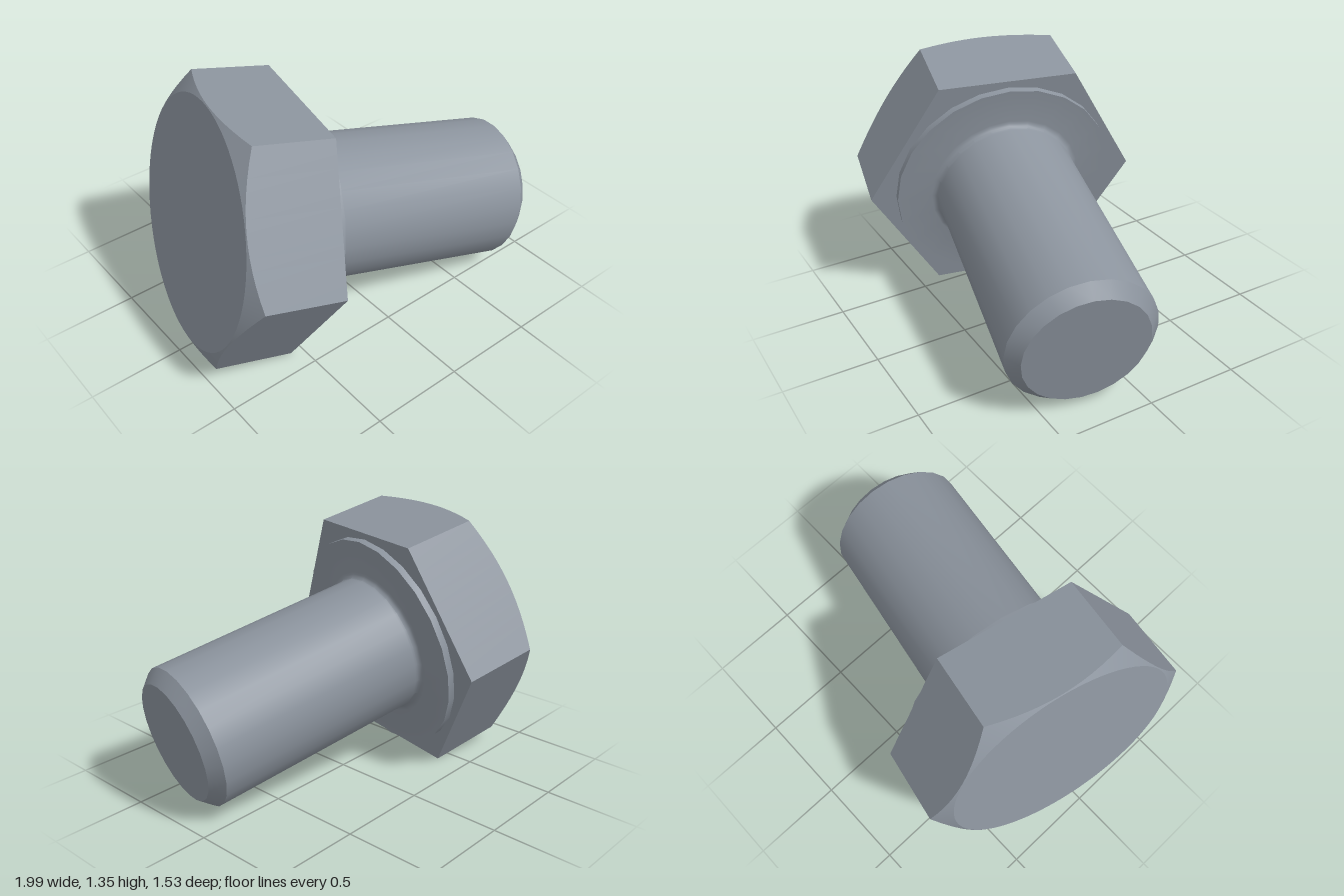
import * as THREE from 'three';
import { toCreasedNormals } from 'three/addons/utils/BufferGeometryUtils.js';

const CREASE = 0.45;
const HEAD_HEIGHT = 0.475;
const CORNER = 0.741;                        // hexagon centre to corner
const FLAT = CORNER * Math.cos(Math.PI / 6); // hexagon centre to flat
const FACE = 0.636;                          // radius of the round top face
const SHANK = 0.384;

function lathe(points, segments) {
  return new THREE.LatheGeometry(points.map(([r, y]) => new THREE.Vector2(r, y)), segments);
}

// Hexagonal head: a lathe whose outer rings are pulled in to the hexagon,
// with the upper one following a 30 degree chamfer cone.
function headGeometry() {
  const mid = -HEAD_HEIGHT / 2;
  const geo = lathe([[0, -HEAD_HEIGHT], [FACE, -HEAD_HEIGHT], [CORNER, mid], [CORNER, 0], [0, 0]], 72);
  const pos = geo.attributes.position;
  const sector = Math.PI / 3;
  for (let i = 0; i < pos.count; i++) {
    const x = pos.getX(i), z = pos.getZ(i);
    if (Math.hypot(x, z) < CORNER - 0.01) continue;
    const angle = Math.atan2(x, z) + 2 * Math.PI;
    const r = FLAT / Math.cos((angle % sector) - sector / 2);
    const y = pos.getY(i) < -0.1 ? -HEAD_HEIGHT + (r - FACE) * Math.tan(Math.PI / 6) : 0;
    pos.setXYZ(i, Math.sin(angle) * r, y, Math.cos(angle) * r);
  }
  return toCreasedNormals(geo, CREASE);
}

// Washer face, filleted root, plain shank and chamfered tip in one profile
function shankGeometry() {
  const step = 0.038, fillet = 0.035;
  const profile = [[0.605, 0], [0.605, step]];
  for (let i = 0; i <= 4; i++) {
    const a = (i / 4) * Math.PI / 2;
    profile.push([SHANK + fillet * (1 - Math.sin(a)), step + fillet * (1 - Math.cos(a))]);
  }
  profile.push([SHANK, 1.255], [0.322, 1.32], [0, 1.32]);
  return toCreasedNormals(lathe(profile, 24), CREASE);
}

export function createModel() {
  const steel = new THREE.MeshStandardMaterial({ color: 0x8c949e });
  steel.name = 'steel grey';

  const bolt = new THREE.Group();
  bolt.name = 'hexBolt';
  const add = (name, geometry) => {
    const mesh = new THREE.Mesh(geometry, steel);
    mesh.name = name;
    bolt.add(mesh);
  };
  add('hexHead', headGeometry());
  add('shankWithWasherFace', shankGeometry());

  // Lean the bolt: local y runs along the shank, local z to a level corner
  const axis = new THREE.Vector3(0.9587, -0.1992, 0.2032).normalize();
  const corner = new THREE.Vector3(-axis.z, 0, axis.x).normalize();
  const side = new THREE.Vector3().crossVectors(axis, corner);
  bolt.quaternion.setFromRotationMatrix(new THREE.Matrix4().makeBasis(side, axis, corner));
  bolt.position.set(-0.363, 0.63, 0.045);

  const model = new THREE.Group();
  model.name = 'boltModel';
  model.add(bolt);
  return model;
}
